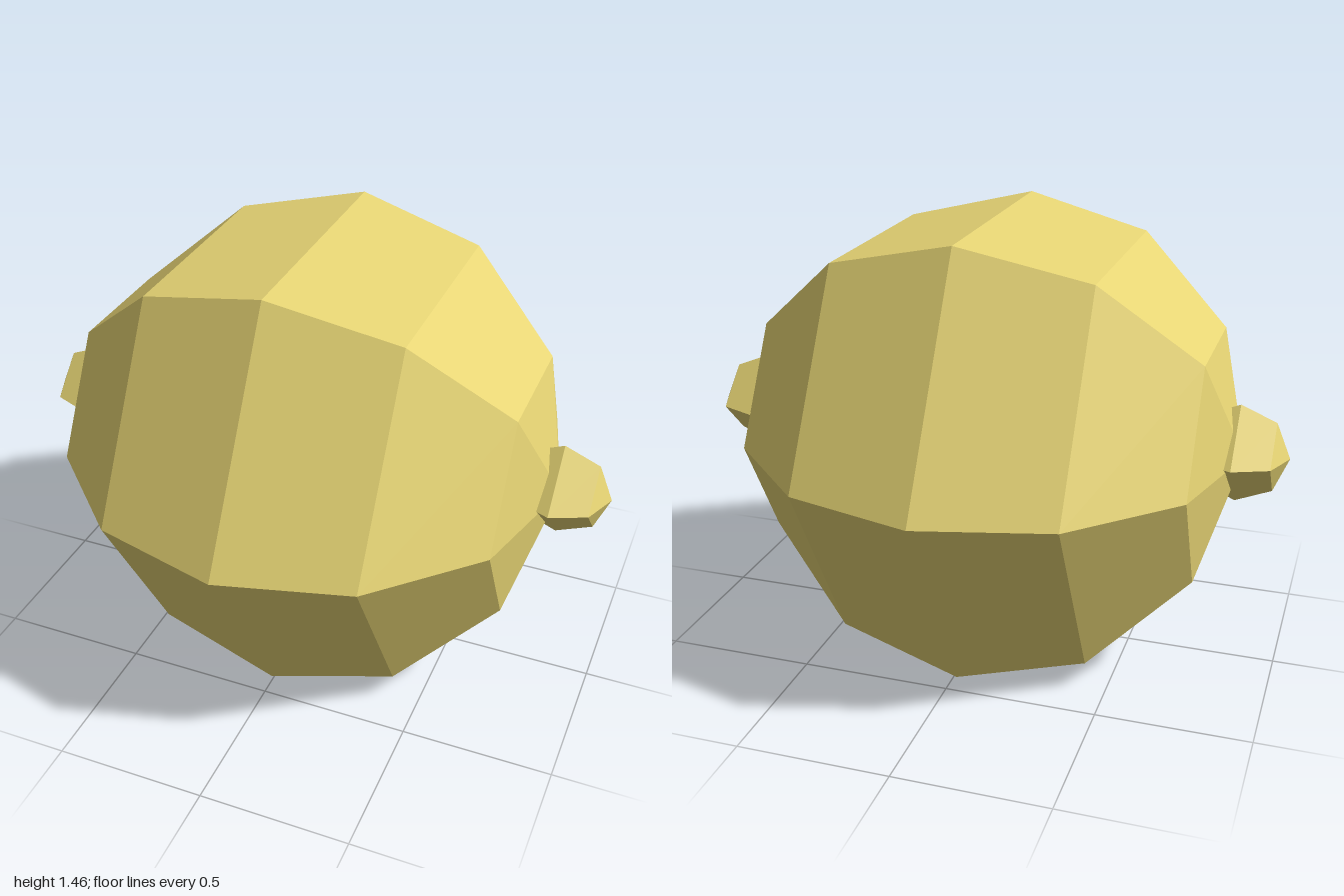
import * as THREE from 'three';

// Low-poly ball whose poles lie on the x axis
function facetedBall(name, radius, sides, rings, material) {
  const geometry = new THREE.SphereGeometry(radius, sides, rings);
  geometry.rotateY(Math.PI / 2); // put corners on the z axis
  geometry.rotateZ(Math.PI / 2); // lay the poles along x
  const mesh = new THREE.Mesh(geometry, material);
  mesh.name = name;
  return mesh;
}

export function createModel() {
  const group = new THREE.Group();
  group.name = 'facetedBallWithKnobs';
  const material = new THREE.MeshStandardMaterial({ color: 0xe6d474, flatShading: true });

  // Six-sided main body
  const body = facetedBall('body', 0.845, 6, 6, material);
  body.position.set(-0.01, 0.732, 0);
  group.add(body);

  // Small four-sided knobs, half sunk into both poles
  for (const [name, side] of [['leftKnob', 1], ['rightKnob', -1]]) {
    const knob = facetedBall(name, 0.167, 4, 4, material);
    knob.position.set(side * 0.833, 0.744, 0);
    group.add(knob);
  }
  return group;
}
